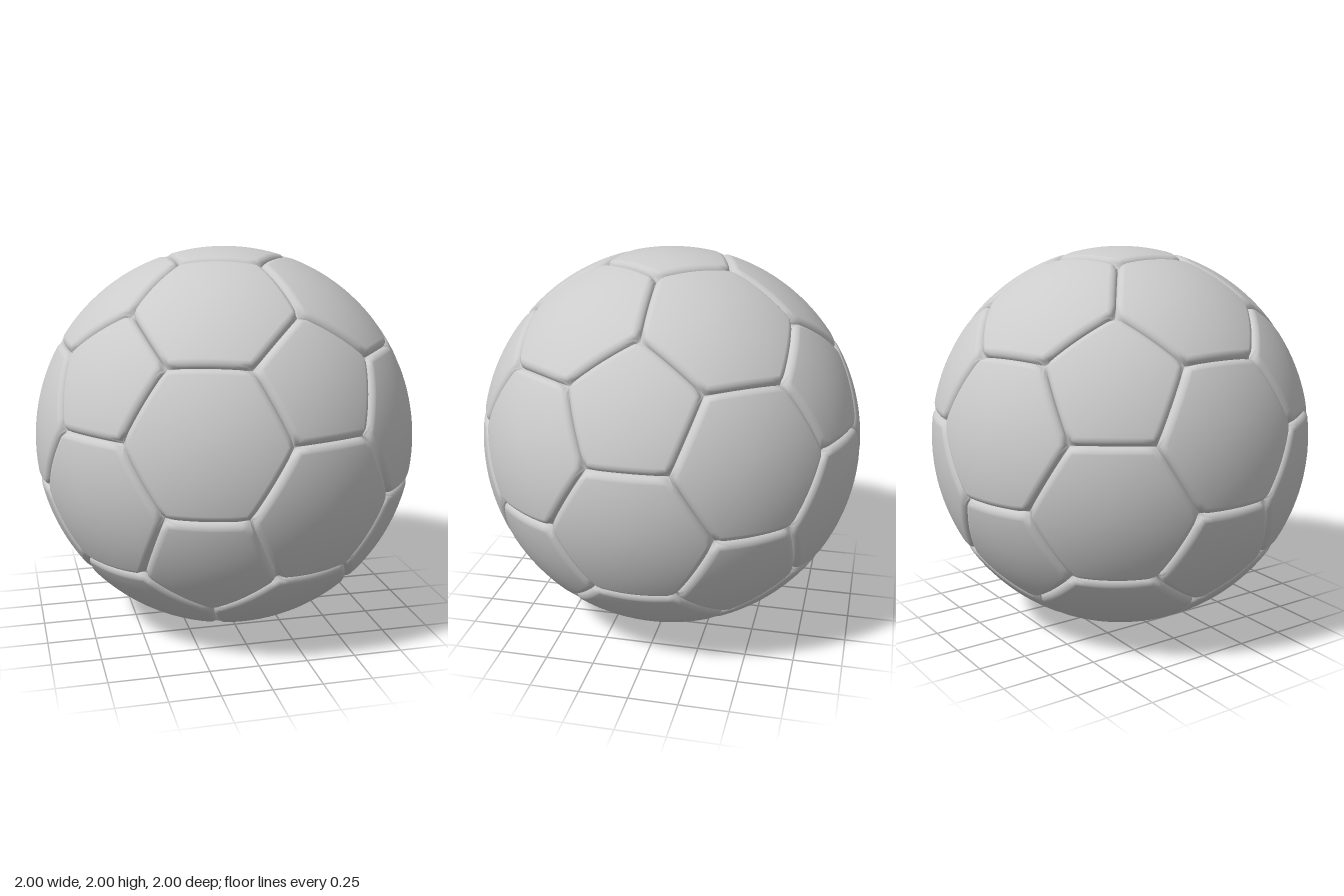
import * as THREE from 'three';
import { mergeVertices } from 'three/addons/utils/BufferGeometryUtils.js';

const RADIUS = 1;
const BEVEL = 0.042;  // width of the rounded panel border
const DEPTH = 0.034;  // depth of the seams
const SEGMENTS = 14;  // divisions along one panel side
const INNER = 7;      // rings across the panel face
const OUTER = 8;      // rings across the rounded border

// Icosahedron corners with one at the top: these are the pentagon centres
function icosahedronPoints() {
  const h = 1 / Math.sqrt(5), r = 2 / Math.sqrt(5);
  const points = [new THREE.Vector3(0, 1, 0), new THREE.Vector3(0, -1, 0)];
  for (let k = 0; k < 5; k++) {
    const a = k * Math.PI * 0.4, b = a + Math.PI / 5;
    points.push(new THREE.Vector3(r * Math.cos(a), h, r * Math.sin(a)));
    points.push(new THREE.Vector3(r * Math.cos(b), -h, r * Math.sin(b)));
  }
  return points;
}

// The n seam corners nearest a panel centre, counter-clockwise from outside
function panelCorners(center, corners, n) {
  const near = [...corners].sort((a, b) => b.dot(center) - a.dot(center)).slice(0, n);
  const u = near[0].clone().addScaledVector(center, -near[0].dot(center)).normalize();
  const v = center.clone().cross(u);
  const angle = (p) => Math.atan2(p.dot(v), p.dot(u));
  return near.sort((a, b) => angle(a) - angle(b));
}

// Spherical polygon whose border rolls down into the seam
function panelGeometry(center, ring) {
  const n = ring.length;
  const sides = ring.map((p, i) => p.clone().cross(ring[(i + 1) % n]).normalize());
  const apothem = Math.asin(sides[0].dot(center));
  const border = BEVEL / apothem;
  const steps = [];
  for (let i = 0; i < INNER; i++) steps.push((1 - border) * i / INNER);
  for (let i = 0; i <= OUTER; i++) steps.push(1 - border + border * Math.sin(i / OUTER * Math.PI / 2));

  const place = (p) => {
    p.normalize();
    let sum = 0;
    for (const side of sides) {
      const d = Math.asin(p.dot(side));
      sum += Math.max(0, 1 - d / BEVEL) ** 2;
    }
    const drop = 1 - Math.sqrt(Math.max(0, 1 - sum));
    return p.multiplyScalar(RADIUS - DEPTH * drop);
  };

  const positions = [], index = [];
  const row = SEGMENTS + 1;
  for (let k = 0; k < n; k++) {
    const base = positions.length / 3;
    steps.forEach((s, i) => {
      for (let j = 0; j <= SEGMENTS; j++) {
        const edge = ring[k].clone().lerp(ring[(k + 1) % n], j / SEGMENTS);
        const flat = center.clone().multiplyScalar(edge.dot(center));
        positions.push(...place(flat.lerp(edge, s)).toArray());
        if (i === 0 || j === SEGMENTS) continue;
        const c = base + i * row + j, a = c - row;
        index.push(a, c, c + 1);
        if (i > 1) index.push(a, c + 1, a + 1);
      }
    });
  }
  const geometry = new THREE.BufferGeometry();
  geometry.setAttribute('position', new THREE.Float32BufferAttribute(positions, 3));
  geometry.setIndex(index);
  const merged = mergeVertices(geometry, 1e-5);
  merged.computeVertexNormals();
  return merged;
}

export function createModel() {
  const ball = new THREE.Group();
  ball.name = 'ball';
  const material = new THREE.MeshStandardMaterial({ color: 0xcccccc });
  const points = icosahedronPoints();
  const adjacent = (a, b) => Math.abs(a.dot(b) - 1 / Math.sqrt(5)) < 0.01;

  // Seam corners lie a third of the way along each icosahedron edge
  const corners = [];
  for (const a of points) for (const b of points) {
    if (adjacent(a, b)) corners.push(a.clone().lerp(b, 1 / 3).normalize());
  }

  const addPanel = (center, sides, name) => {
    const mesh = new THREE.Mesh(panelGeometry(center, panelCorners(center, corners, sides)), material);
    mesh.name = name;
    mesh.position.y = RADIUS;
    ball.add(mesh);
  };

  // 12 pentagons on the corners
  points.forEach((p, i) => addPanel(p, 5, `pentagonPanel${i + 1}`));

  // 20 hexagons on the faces
  let count = 0;
  for (let i = 0; i < 12; i++) for (let j = i + 1; j < 12; j++) for (let k = j + 1; k < 12; k++) {
    const [a, b, c] = [points[i], points[j], points[k]];
    if (adjacent(a, b) && adjacent(b, c) && adjacent(a, c)) {
      addPanel(a.clone().add(b).add(c).normalize(), 6, `hexagonPanel${++count}`);
    }
  }
  return ball;
}
